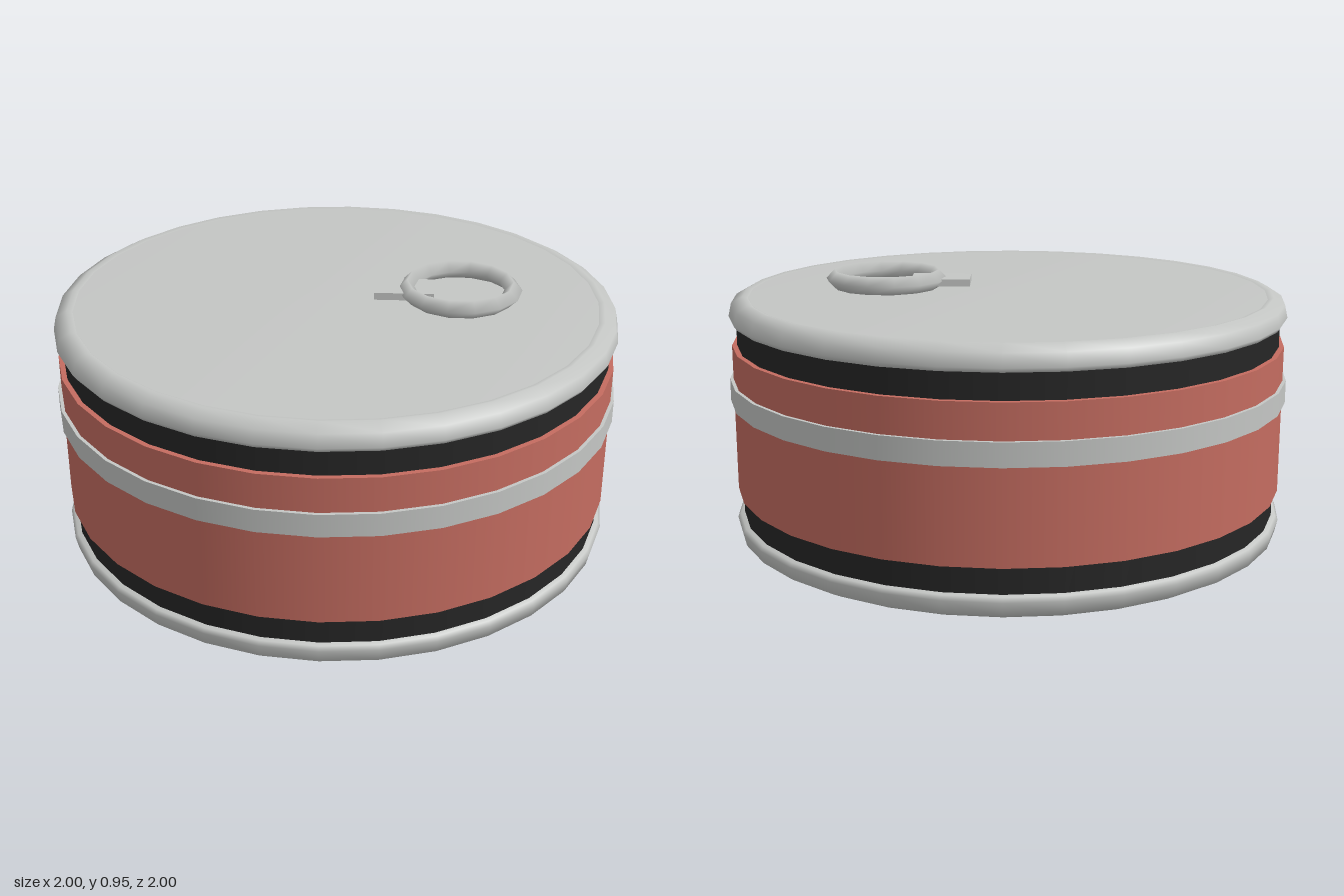
import * as THREE from 'three';

const SIDES = 32;

export function createModel() {
  const can = new THREE.Group();
  can.name = 'foodCan';

  const material = (name, color) => {
    const m = new THREE.MeshStandardMaterial({ color });
    m.name = name;
    return m;
  };
  const metal = material('tin grey', 0xc4c6c4);
  const red = material('label red', 0xc46c60);
  const dark = material('dark wall', 0x262626);

  const add = (name, geometry, mat, x = 0, y = 0, z = 0) => {
    const mesh = new THREE.Mesh(geometry, mat);
    mesh.name = name;
    mesh.position.set(x, y, z);
    can.add(mesh);
    return mesh;
  };
  const lathe = (points) =>
    new THREE.LatheGeometry(points.map(([r, y]) => new THREE.Vector2(r, y)), SIDES);
  // upside-down copy of a profile, reversed so the faces still point outwards
  const flip = (points, height) => points.map(([r, y]) => [r, height - y]).reverse();
  // closed band: lower face, wall and upper face
  const band = (name, mat, radius, bottom, top) =>
    add(name, new THREE.CylinderGeometry(radius, radius, top - bottom, SIDES), mat,
      0, (bottom + top) / 2, 0);

  // can wall, label and stripe
  band('canWall', dark, 0.97, 0.03, 0.86);
  band('label', red, 0.988, 0.185, 0.71);
  band('labelStripe', metal, 1.0, 0.51, 0.59);

  // rolled rims and softly shaded lids at both ends
  const rim = [[0.96, 0.795], [0.985, 0.80], [0.995, 0.815], [0.985, 0.86], [0.945, 0.882], [0.92, 0.874]];
  const lid = [[0.925, 0.85], [0.925, 0.878], [0, 0.878]];
  const base = [[0.915, 0.85], [0.915, 0.89], [0, 0.89]];
  add('topRim', lathe(rim), metal);
  add('topLid', lathe(lid), metal);
  add('bottomRim', lathe(flip(rim, 0.89)), metal);
  add('bottomLid', lathe(flip(base, 0.89)), metal);

  // pull ring with a diamond cross-section, and its flat tab
  const ring = new THREE.TorusGeometry(0.187, 0.032, 4, 14).rotateX(-Math.PI / 2);
  add('pullRing', ring, metal, 0.437, 0.92, 0);
  add('pullTab', new THREE.BoxGeometry(0.21, 0.026, 0.135), metal, 0.24, 0.913, 0);

  return can;
}
